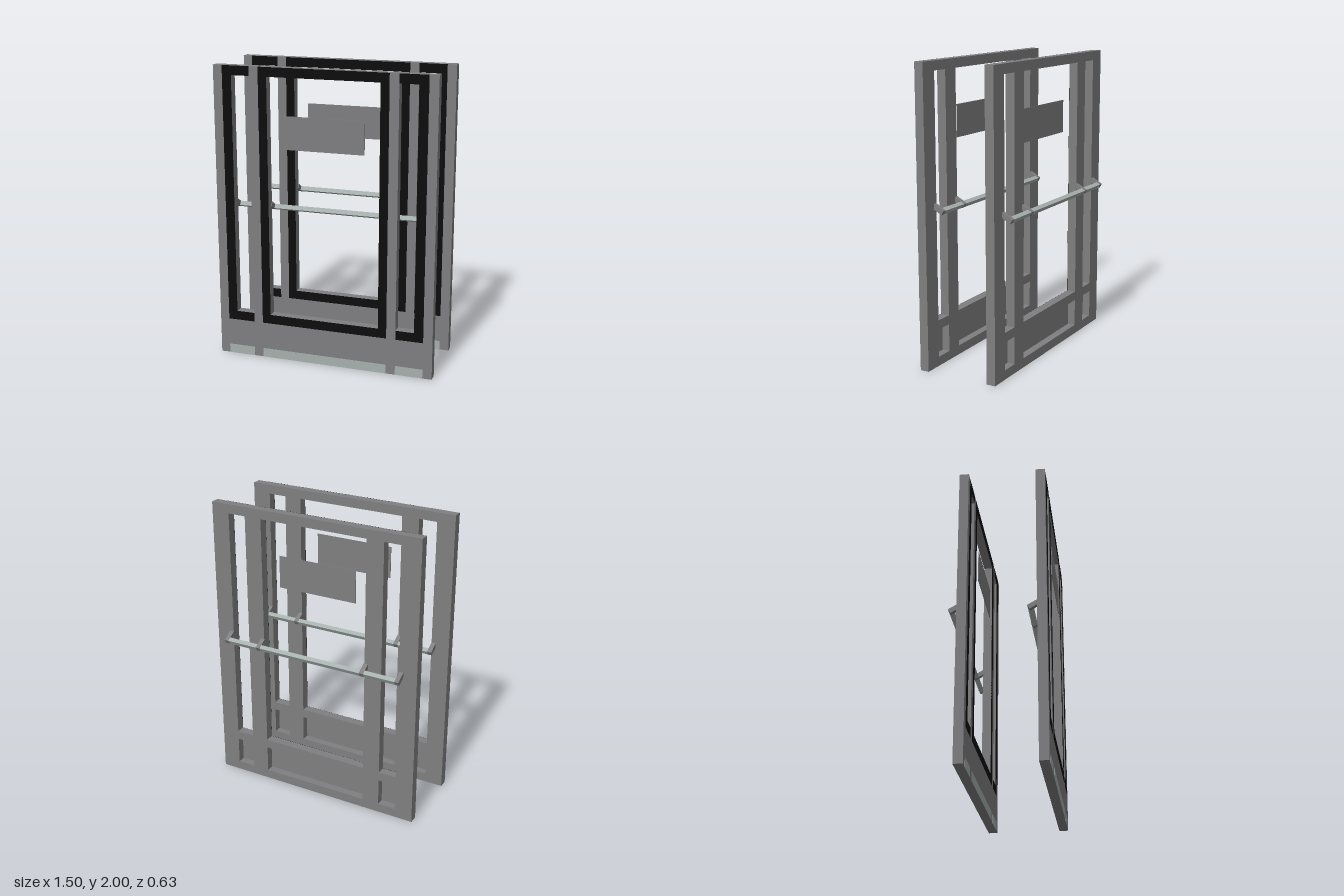
import * as THREE from 'three';

const material = (name, color) => {
  const m = new THREE.MeshStandardMaterial({ color });
  m.name = name;
  return m;
};

export function createModel() {
  const grey = material('satin grey', 0x7f7f81);
  const black = material('black trim', 0x0d0d0d);
  const light = material('pale metal', 0xa6b0ad);

  const T = 0.0615; // leaf thickness, front face at z = 0

  // Box given by its x, y and z limits
  const box = (parent, name, mat, x0, x1, y0, y1, z0, z1) => {
    const mesh = new THREE.Mesh(new THREE.BoxGeometry(x1 - x0, y1 - y0, z1 - z0), mat);
    mesh.position.set((x0 + x1) / 2, (y0 + y1) / 2, (z0 + z1) / 2);
    mesh.name = name;
    parent.add(mesh);
    return mesh;
  };

  const rectangle = (path, x0, x1, y0, y1) =>
    path.moveTo(x0, y0).lineTo(x1, y0).lineTo(x1, y1).lineTo(x0, y1).closePath();

  // Window columns and the trim columns around them: [x0, x1]
  const openings = [[-0.625, -0.5], [-0.38, 0.38], [0.5, 0.625]];
  const trims = [[-0.6875, -0.5], [-0.4375, 0.4375], [0.5, 0.6875]];

  const createLeaf = (name) => {
    const leaf = new THREE.Group();
    leaf.name = name;

    // Frame with tall windows above and small recesses below
    const outline = new THREE.Shape();
    rectangle(outline, -0.75, 0.75, 0, 2);
    for (const [x0, x1] of openings) {
      for (const [y0, y1] of [[0.3125, 1.9375], [0.0625, 0.25]]) {
        const hole = new THREE.Path();
        rectangle(hole, x0, x1, y0, y1);
        outline.holes.push(hole);
      }
    }
    const frameGeometry = new THREE.ExtrudeGeometry(outline, { depth: T, bevelEnabled: false });
    const frame = new THREE.Mesh(frameGeometry, grey);
    frame.position.z = -T;
    frame.name = 'frame';
    leaf.add(frame);

    openings.forEach(([x0, x1], i) => {
      const [t0, t1] = trims[i];
      // Panel closing the recess at the front
      box(leaf, 'lowerPanel', grey, x0, x1, 0.0625, 0.25, -0.008, 0);
      // Black trim around each window
      box(leaf, 'topTrim', black, t0, t1, 1.9375, 2, -0.001, 0.001);
      box(leaf, 'bottomTrim', black, t0, t1, 0.25, 0.3125, -0.001, 0.001);
      if (t0 < x0) box(leaf, 'sideTrim', black, t0, x0, 0.3125, 1.9375, -0.001, 0.001);
      if (t1 > x1) box(leaf, 'sideTrim', black, x1, t1, 0.3125, 1.9375, -0.001, 0.001);
      // Pale strip along the foot
      box(leaf, 'kickStrip', light, t0, t1, 0, 0.0625, -0.001, 0.001);
    });

    // Blank plate on the main window
    box(leaf, 'windowPlate', grey, -0.28, 0.28, 1.47, 1.69, -0.004, 0);

    // Push bar: sloping down and away from the back, x along the bar
    const handle = new THREE.Group();
    handle.name = 'pushBar';
    handle.position.set(0, 1.043, -T - 0.063);
    handle.rotation.x = -Math.PI / 6;
    box(handle, 'bar', light, -0.626, 0.626, -0.015, 0.015, 0, 0.03);
    for (const side of [-1, 1]) {
      for (const x of [0.39, 0.64]) {
        box(handle, 'bracket', grey, side * x - 0.015, side * x + 0.015, -0.0155, 0.0155, -0.0005, 0.082);
      }
    }
    leaf.add(handle);
    return leaf;
  };

  // Two matching leaves, one behind the other
  const model = new THREE.Group();
  model.name = 'doubleDoors';
  const front = createLeaf('frontDoor');
  front.position.z = 0.315;
  const rear = createLeaf('rearDoor');
  rear.position.z = -0.185;
  model.add(front, rear);
  return model;
}
